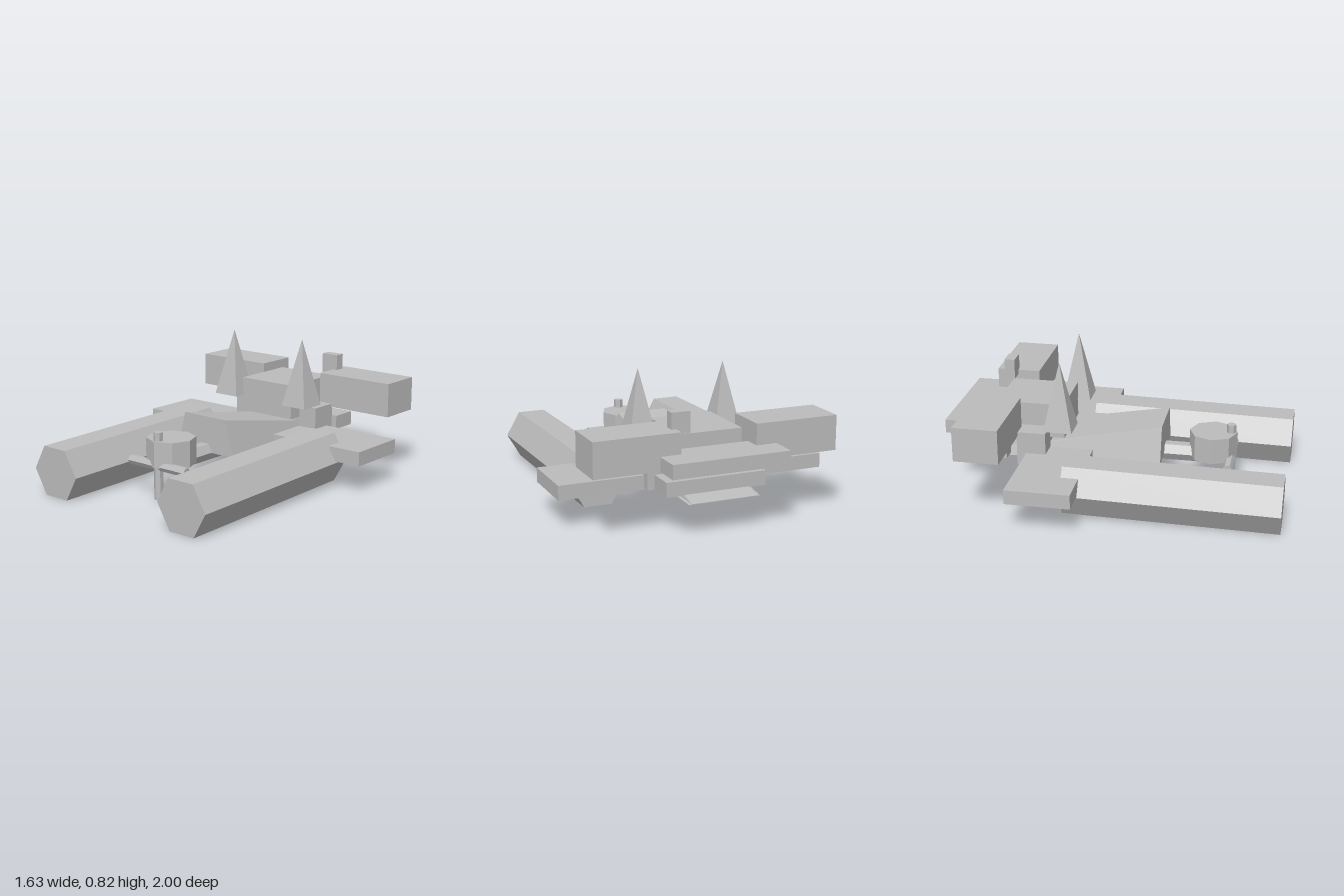
import * as THREE from 'three';

export function createModel() {
  const group = new THREE.Group();
  const grey = new THREE.MeshStandardMaterial({ color: 0xbcbcbc });
  grey.name = 'light grey';

  // Faceted mesh: unshared corners give every face its own normal
  const add = (name, geometry, x = 0, y = 0, z = 0) => {
    const flat = geometry.index ? geometry.toNonIndexed() : geometry;
    flat.computeVertexNormals();
    const mesh = new THREE.Mesh(flat, grey);
    mesh.name = name;
    mesh.position.set(x, y, z);
    group.add(mesh);
    return mesh;
  };
  // Box given by its limits on each axis
  const box = (name, [x0, x1], [y0, y1], [z0, z1]) =>
    add(name, new THREE.BoxGeometry(x1 - x0, y1 - y0, z1 - z0),
      (x0 + x1) / 2, (y0 + y1) / 2, (z0 + z1) / 2);
  // Six-sided bar along z with flat top and bottom
  const hexBar = (r, length) =>
    new THREE.CylinderGeometry(r, r, length, 6).rotateY(Math.PI / 2).rotateX(Math.PI / 2);

  // Central hull: a wedge, tall at the front and tapering to a flat tail
  const hull = new THREE.BoxGeometry(1, 1, 1);
  const p = hull.attributes.position;
  for (let i = 0; i < p.count; i++) {
    const front = p.getZ(i) > 0, top = p.getY(i) > 0;
    const half = top ? (front ? 0.155 : 0.2) : 0.213;
    const y = top ? (front ? 0.42 : 0.194) : (front ? 0.205 : 0.19);
    p.setXYZ(i, Math.sign(p.getX(i)) * half, y, front ? 0.26 : -0.915);
  }
  add('hull', hull);

  // Body blocks
  box('lowerWing', [-0.815, 0.815], [0.175, 0.26], [-0.525, -0.147]);
  box('midBlock', [-0.313, 0.313], [0.185, 0.39], [-0.58, -0.407]);
  box('cabin', [-0.19, 0.19], [0.32, 0.53], [-0.725, -0.32]);
  box('rearBlock', [-0.3, 0.3], [0.21, 0.295], [-0.81, -0.648]);
  box('tailPlate', [-0.348, 0.348], [0.37, 0.452], [-1, -0.735]);
  box('sensorBox', [0.144, 0.254], [0.545, 0.668], [-0.77, -0.707]);

  // Mirrored side parts
  for (const s of [1, -1]) {
    const side = s > 0 ? 'left' : 'right';
    box(side + 'UpperWing', s > 0 ? [0.225, 0.728] : [-0.728, -0.225], [0.37, 0.574], [-0.835, -0.572]);
    add(side + 'Pontoon', hexBar(0.17, 1.25), s * 0.485, 0.158, 0.375).rotation.x = 0.016;
    add(side + 'Spike', new THREE.ConeGeometry(0.12, 0.405, 4).rotateY(Math.PI / 4), s * 0.265, 0.6225, -0.325);
  }

  // Front turret on its arm, with crossed rods
  add('turretArm', hexBar(0.056, 0.4), 0, 0.208, 0.32);
  add('turret', new THREE.CylinderGeometry(0.143, 0.143, 0.155, 8), 0, 0.2775, 0.55);
  add('uprightRod', new THREE.CylinderGeometry(0.028, 0.028, 0.395, 6), 0, 0.2075, 0.656);
  add('crossRod', new THREE.CylinderGeometry(0.028, 0.028, 0.43, 6).rotateZ(Math.PI / 2), 0, 0.208, 0.656);

  return group;
}
